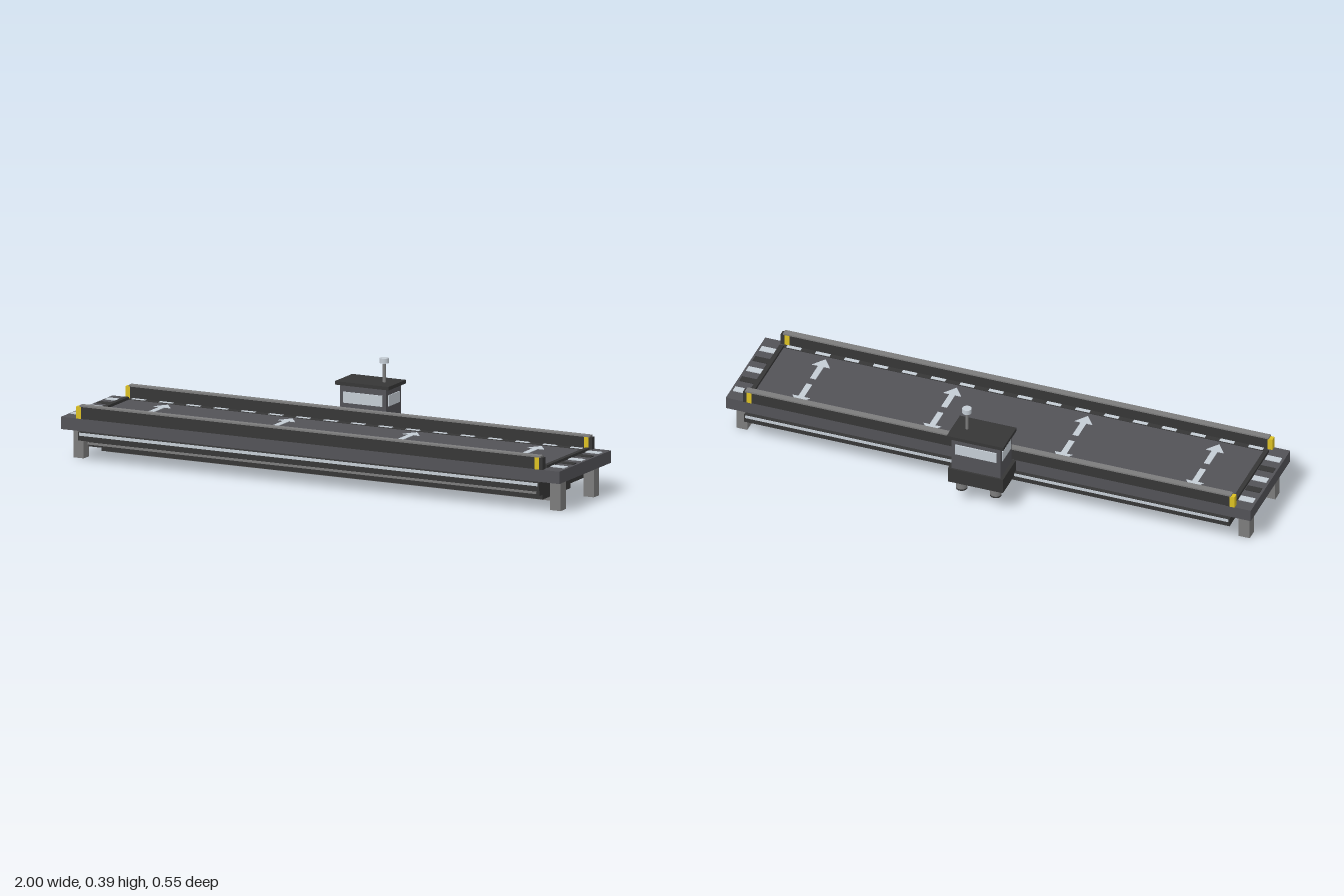
import * as THREE from 'three';

const mat = (name, color, side = THREE.FrontSide) => {
  const m = new THREE.MeshStandardMaterial({ color, side });
  m.name = name;
  return m;
};

export function createModel() {
  const deckGrey = mat('deckGrey', 0x525257);
  const charcoal = mat('charcoal', 0x363636);
  const steel = mat('steel', 0x7c7c7c);
  const pale = mat('paleBlueGrey', 0xc4ccd4);
  const yellow = mat('hazardYellow', 0xdcc022);

  const group = new THREE.Group();
  group.name = 'floatingBridge';
  const MID = 0.06; // centre line of the deck in z

  const add = (name, geometry, material, x = 0, y = 0, z = 0) => {
    const mesh = new THREE.Mesh(geometry, material);
    mesh.name = name;
    mesh.position.set(x, y, z);
    group.add(mesh);
    return mesh;
  };
  // Box given by its limits on each axis
  const box = (name, material, [x0, x1], [y0, y1], [z0, z1]) =>
    add(name, new THREE.BoxGeometry(x1 - x0, y1 - y0, z1 - z0), material,
      (x0 + x1) / 2, (y0 + y1) / 2, (z0 + z1) / 2);
  // Box centred in x and on the deck centre line
  const beam = (name, material, halfX, y, halfZ) =>
    box(name, material, [-halfX, halfX], y, [MID - halfZ, MID + halfZ]);

  // Deck and stepped hull below it
  beam('deck', deckGrey, 1, [0.111, 0.156], 0.2);
  beam('upperHull', charcoal, 0.925, [0.08, 0.111], 0.215);
  beam('middleHull', charcoal, 0.905, [0.052, 0.08], 0.172);
  beam('lowerHull', charcoal, 0.885, [0.025, 0.052], 0.107);
  beam('keel', steel, 0.9, [0.008, 0.025], 0.042);

  for (const s of [-1, 1]) {
    const zRange = (a, b) => [a, b].map(v => MID + s * v).sort((p, q) => p - q);
    // Hull trim and handrail
    box('hullStripe', pale, [-0.92, 0.92], [0.098, 0.109], zRange(0.213, 0.217));
    box('hullRail', steel, [-0.9, 0.9], [0.062, 0.07], zRange(0.184, 0.188));

    // Side wall with cap and hazard-marked ends
    box('sideWall', charcoal, [-0.92, 0.92], [0.156, 0.2], zRange(0.182, 0.2));
    box('wallCap', steel, [-0.925, 0.925], [0.2, 0.206], zRange(0.179, 0.203));
    for (const x of [-0.92, 0.92]) {
      box('hazardYellowBlock', yellow, [x - 0.019, x], [0.156, 0.2], zRange(0.181, 0.202));
      box('hazardDarkBlock', charcoal, [x, x + 0.014], [0.156, 0.2], zRange(0.181, 0.202));
    }

    // Dashed lane edge line
    box('laneLine', charcoal, [-0.92, 0.92], [0.156, 0.158], zRange(0.163, 0.182));
    for (let i = 0; i < 17; i++) {
      const x = (i - 8) * 0.11;
      box('laneDash', pale, [x - 0.0275, x + 0.0275], [0.156, 0.1595], zRange(0.165, 0.18));
    }

    // Deck-end threshold, end stripes and legs
    add('threshold', new THREE.BoxGeometry(0.016, 0.01, 0.328), charcoal, s * 0.924, 0.161, MID);
    for (let i = -2; i <= 2; i++) {
      add('endStripe', new THREE.BoxGeometry(0.056, 0.003, 0.028), i % 2 ? charcoal : pale,
        s * 0.963, 0.1575, MID - 0.005 + i * 0.067);
    }
    for (const z of [-0.071, 0.187]) {
      add('leg', new THREE.BoxGeometry(0.042, 0.111, 0.042), steel, s * 0.957, 0.0555, z);
    }
  }

  // Deck arrows pointing to both sides
  const shape = new THREE.Shape([
    [-0.011, 0.018], [0.011, 0.018], [0.011, 0.1], [0.034, 0.1],
    [0, 0.146], [-0.034, 0.1], [-0.011, 0.1],
  ].map(p => new THREE.Vector2(...p)));
  const arrow = new THREE.ExtrudeGeometry(shape, { depth: 0.002, bevelEnabled: false });
  arrow.rotateX(-Math.PI / 2);
  for (const x of [-0.75, -0.25, 0.25, 0.75]) {
    for (const turn of [0, Math.PI]) {
      add('deckArrow', arrow, pale, x, 0.156, MID).rotation.y = turn;
    }
  }

  // Control cabin on the rear side
  box('cabinBase', charcoal, [-0.105, 0.105], [0.098, 0.155], [-0.271, -0.14]);
  box('cabin', deckGrey, [-0.093, 0.093], [0.155, 0.285], [-0.264, -0.15]);
  box('cabinRoof', charcoal, [-0.108, 0.108], [0.285, 0.298], [-0.275, -0.14]);
  for (const z of [-0.266, -0.148]) {
    add('longWindow', new THREE.BoxGeometry(0.158, 0.04, 0.005), pale, 0, 0.241, z);
  }
  for (const x of [-0.094, 0.094]) {
    add('sideWindow', new THREE.BoxGeometry(0.005, 0.04, 0.086), pale, x, 0.241, -0.207);
  }

  // Mast with lamp
  add('mast', new THREE.CylinderGeometry(0.006, 0.006, 0.07, 16), steel, 0.056, 0.333, -0.207);
  add('lamp', new THREE.CylinderGeometry(0.017, 0.017, 0.018, 24), pale, 0.056, 0.377, -0.207);

  // Thrusters below the cabin
  for (const x of [-0.065, 0.065]) {
    add('thruster', new THREE.CylinderGeometry(0.021, 0.021, 0.034, 24), steel, x, 0.081, -0.236);
    add('thrusterFoot', new THREE.CylinderGeometry(0.021, 0.021, 0.006, 24), charcoal, x, 0.061, -0.236);
  }

  return group;
}
